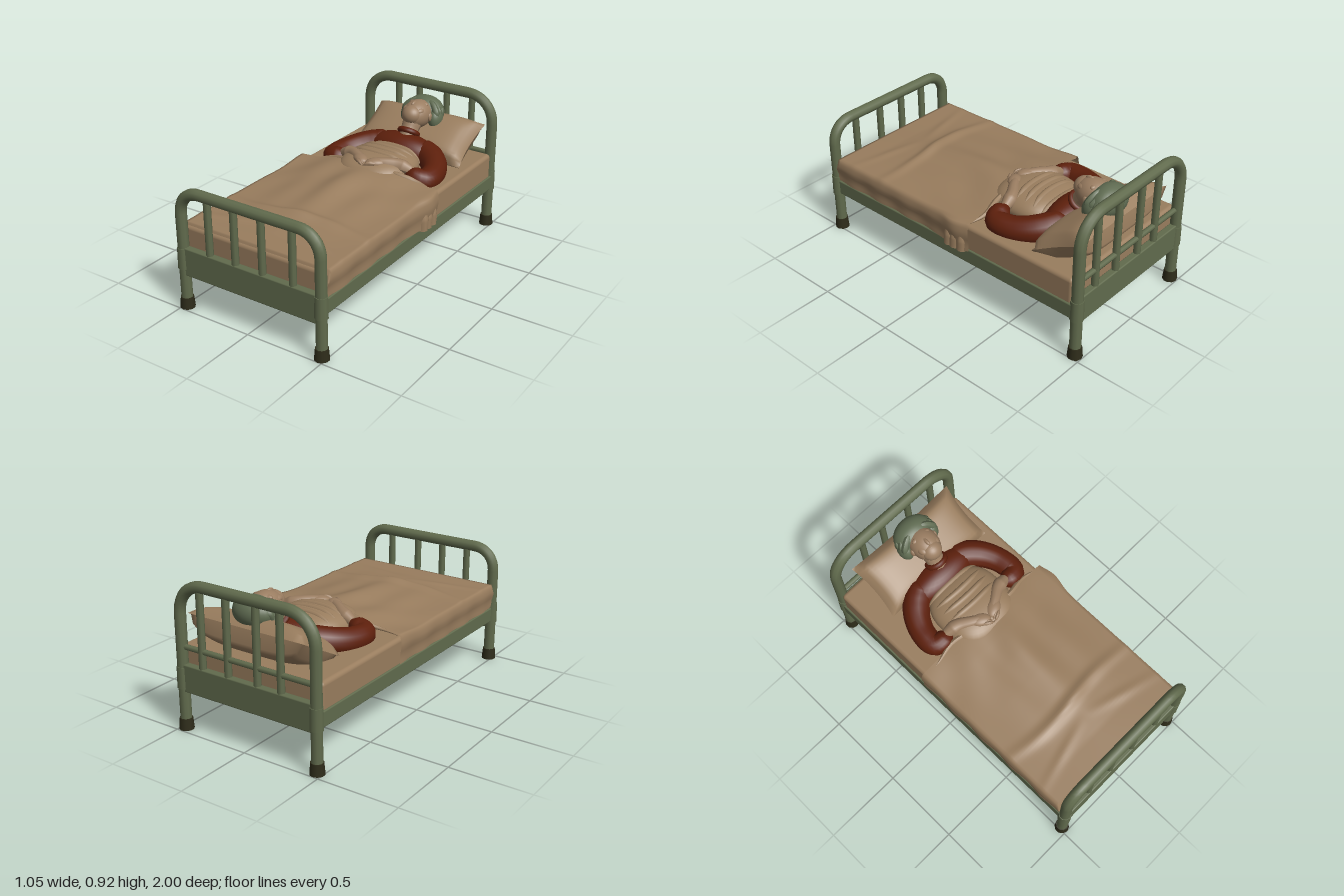
import * as THREE from 'three';
import { RoundedBoxGeometry } from 'three/addons/geometries/RoundedBoxGeometry.js';

const V = (x, y, z) => new THREE.Vector3(x, y, z);
const gauss = (d, w) => Math.exp(-(d * d) / (w * w));

// Linear interpolation through evenly spaced values
function ramp(values, t) {
  const f = Math.min(Math.max(t, 0), 1) * (values.length - 1);
  const i = Math.min(Math.floor(f), values.length - 2);
  return THREE.MathUtils.lerp(values[i], values[i + 1], f - i);
}

// Tube along points whose radius follows a list of values
function taperedTube(points, radii, sides = 12, segs = 28) {
  const curve = new THREE.CatmullRomCurve3(points);
  const g = new THREE.TubeGeometry(curve, segs, 1, sides);
  const p = g.attributes.position, v = V(0, 0, 0);
  for (let i = 0; i < p.count; i++) {
    const t = Math.floor(i / (sides + 1)) / segs, c = curve.getPointAt(t);
    v.fromBufferAttribute(p, i).sub(c).multiplyScalar(ramp(radii, t)).add(c);
    p.setXYZ(i, v.x, v.y, v.z);
  }
  g.computeVertexNormals();
  return g;
}

// Bent tube frame: post, rounded corner, top bar, corner, post
function hoop(w, top, r, z) {
  const path = new THREE.CurvePath();
  const k = r * 0.42;
  path.add(new THREE.LineCurve3(V(-w, 0.05, z), V(-w, top - r, z)));
  path.add(new THREE.CubicBezierCurve3(V(-w, top - r, z), V(-w, top - k, z), V(-w + k, top, z), V(-w + r, top, z)));
  path.add(new THREE.LineCurve3(V(-w + r, top, z), V(w - r, top, z)));
  path.add(new THREE.CubicBezierCurve3(V(w - r, top, z), V(w - k, top, z), V(w, top - k, z), V(w, top - r, z)));
  path.add(new THREE.LineCurve3(V(w, top - r, z), V(w, 0.05, z)));
  return new THREE.TubeGeometry(path, 100, 0.034, 10);
}

// Height of the blanket over the legs and its folds
function blanketHeight(x, z) {
  const body = ramp([0.085, 0.078, 0.068, 0.056, 0.042, 0.026, 0.006, 0], (z + 0.2) / 1.13);
  const side = gauss(x - 0.02, 0.3 + 0.1 * gauss(z + 0.2, 0.18));
  const legs = 0.01 * Math.cos((x - 0.02) * 24) * gauss(z - 0.2, 0.3) * side;
  const cross = 0.024 * gauss(z - 0.54 + 0.06 * x * x + 0.02 * Math.sin(x * 7), 0.035) * gauss(x, 0.4);
  const diagonal = 0.012 * gauss(z - 0.66 - 0.25 * Math.abs(x), 0.03) * Math.min(1, Math.abs(x) * 4) * gauss(x, 0.4);
  const creases = 0.006 * Math.sin(x * 17 + z * 9) * gauss(z + 0.02, 0.2);
  return 0.527 + body * side + legs + cross + diagonal + creases;
}

function blanketGeometry() {
  const g = new THREE.PlaneGeometry(2, 1.13, 70, 70).rotateX(-Math.PI / 2).translate(0, 0, 0.365);
  const p = g.attributes.position;
  for (let i = 0; i < p.count; i++) {
    const u = p.getX(i), z = p.getZ(i), s = Math.sign(u);
    const drop = Math.max(0, (Math.abs(u) - 0.8) / 0.2);
    const hang = s > 0 ? gauss(z + 0.09, 0.09) : 0;
    const flare = drop > 0 ? 0.012 * Math.sin(Math.PI * Math.min(drop * 1.5, 1)) + hang * 0.026 + 0.005 * Math.sin(z * 26) * drop : 0;
    const x = s * (Math.min(1, Math.abs(u) / 0.8) * 0.495 + flare);
    const y = THREE.MathUtils.lerp(blanketHeight(x, z), 0.368 - 0.018 * hang, drop);
    p.setXYZ(i, x, z > 0.925 ? Math.min(y, 0.46) : y, z);
  }
  g.computeVertexNormals();
  return g;
}

// Plump cushion with thin seams, fuller underneath
function pillowGeometry() {
  const g = new THREE.BoxGeometry(2, 2, 2, 24, 1, 16);
  const p = g.attributes.position;
  for (let i = 0; i < p.count; i++) {
    const x = p.getX(i), z = p.getZ(i);
    const puff = Math.pow(Math.max(0, (1 - x ** 4) * (1 - z ** 4)), 0.42);
    const y = p.getY(i) > 0 ? 0.092 : -0.12;
    p.setXYZ(i, x * 0.395 * (1 - 0.05 * (1 - z * z)), y * puff, z * 0.19 * (1 - 0.06 * (1 - x * x)));
  }
  g.computeVertexNormals();
  return g;
}

export function createModel() {
  const model = new THREE.Group();
  const mat = (name, color, side = THREE.FrontSide) => {
    const m = new THREE.MeshStandardMaterial({ color, side });
    m.name = name;
    return m;
  };
  const green = mat('green enamel', 0x616b4d);
  const rubber = mat('dark rubber', 0x2e2c1a);
  const linen = mat('tan linen', 0x997d5e, THREE.DoubleSide);
  const skin = mat('skin', 0x9a7d61);
  const red = mat('rust red wool', 0x5e200c);
  const hairMat = mat('grey green hair', 0x606c52);

  const add = (name, geo, m, x = 0, y = 0, z = 0) => {
    const mesh = new THREE.Mesh(geo, m);
    mesh.name = name;
    mesh.position.set(x, y, z);
    model.add(mesh);
    return mesh;
  };
  const ball = (name, m, x, y, z, rx, ry, rz) =>
    add(name, new THREE.SphereGeometry(1, 28, 18).scale(rx, ry, rz), m, x, y, z);
  const box = (name, m, w, h, d, x, y, z) => add(name, new RoundedBoxGeometry(w, h, d, 2, 0.008), m, x, y, z);

  // Head and foot frames
  const ends = [
    { name: 'foot', z: 0.958, w: 0.477, top: 0.75, r: 0.14, bars: [-0.28, -0.097, 0.09, 0.295], low: 0.22, high: 0.398 },
    { name: 'head', z: -0.955, w: 0.466, top: 0.89, r: 0.18, bars: [-0.235, -0.075, 0.13, 0.315], low: 0.24, high: 0.41 },
  ];
  for (const e of ends) {
    add(e.name + 'Frame', hoop(e.w, e.top, e.r, e.z), green);
    box(e.name + 'Panel', green, e.w * 2, e.high - e.low, 0.045, 0, (e.high + e.low) / 2, e.z);
    // Dark inner face of the panel, under the mattress
    add(e.name + 'PanelLining', new THREE.BoxGeometry(0.87, 0.335 - e.low, 0.008), rubber, 0, (0.345 + e.low) / 2, e.z - Math.sign(e.z) * 0.024);
    for (const x of e.bars) {
      const h = e.top - e.high + 0.02;
      add(e.name + 'Bar', new THREE.CylinderGeometry(0.022, 0.022, h, 8), green, x, e.high + h / 2 - 0.01, e.z);
    }
    for (const s of [-1, 1]) {
      add('footCap', new THREE.CylinderGeometry(0.039, 0.045, 0.07, 10), rubber, s * e.w, 0.035, e.z);
      add('postBracket', new THREE.CylinderGeometry(0.038, 0.04, 0.13, 10), green, s * e.w, 0.325, e.z);
    }
  }
  const crossRail = add('headCrossRail', new THREE.CylinderGeometry(0.017, 0.017, 0.93, 8), green, 0, 0.512, -0.955);
  crossRail.rotation.z = Math.PI / 2;

  // Side rails and bed base
  for (const s of [-1, 1]) box('sideRail', green, 0.05, 0.095, 1.9, s * 0.47, 0.315, 0);
  box('underSlat', linen, 0.9, 0.012, 0.02, 0, 0.334, 0.78);

  // Bedding
  add('mattress', new RoundedBoxGeometry(0.97, 0.178, 1.86, 4, 0.025), linen, 0, 0.429, 0);
  add('blanket', blanketGeometry(), linen);
  const hem = [];
  for (let i = 0; i <= 20; i++) {
    const x = -0.48 + i * 0.049;
    hem.push(V(x, blanketHeight(x, -0.2) - 0.008, -0.195 + 0.012 * Math.sin(i)));
  }
  add('blanketHem', taperedTube(hem, [0.002, 0.015, 0.02, 0.015, 0.02, 0.002], 8, 50), linen);
  for (const z of [-0.145, -0.09, -0.045]) {
    add('hangingFold', taperedTube([V(0.44, 0.52, z - 0.015), V(0.48, 0.5, z), V(0.495, 0.44, z), V(0.5, 0.352, z + 0.005)],
      [0.004, 0.025, 0.034, 0.032], 10), linen);
  }
  add('pillow', pillowGeometry(), linen, 0.035, 0.617, -0.765).rotation.x = 0.5;

  // Covered chest, squared off in plan, with gathered folds
  const C = { x: 0.02, y: 0.555, z: -0.305, rx: 0.235, ry: 0.1, rz: 0.235 };
  const chest = new THREE.SphereGeometry(1, 36, 24);
  const cp = chest.attributes.position;
  const square = (v) => Math.sign(v) * Math.abs(v) ** 0.75;
  for (let i = 0; i < cp.count; i++) {
    cp.setXYZ(i, square(cp.getX(i)) * C.rx, cp.getY(i) * C.ry, square(cp.getZ(i)) * C.rz);
  }
  chest.computeVertexNormals();
  add('coveredChest', chest, linen, C.x, C.y, C.z);
  for (const z of [-0.48, -0.4, -0.34, -0.28]) {
    const fold = [];
    for (let i = -6; i <= 6; i++) {
      const dx = i * 0.034, zz = z + 0.6 * dx * dx * (z > -0.41 ? -1 : 0.2);
      const q = 1 - Math.abs(dx / C.rx) ** 2.67 - Math.abs((zz - C.z) / C.rz) ** 2.67;
      fold.push(V(C.x + dx, C.y + C.ry * Math.sqrt(Math.max(q, 0)) - 0.01, zz));
    }
    add('chestFold', taperedTube(fold, [0.004, 0.02, 0.022, 0.02, 0.004], 10), linen);
  }

  // Shoulders, sleeves, forearms and hands
  ball('shoulders', red, 0.025, 0.565, -0.58, 0.25, 0.112, 0.12);
  const collar = add('collar', new THREE.TorusGeometry(0.058, 0.018, 10, 28), red, 0.042, 0.672, -0.628);
  collar.rotation.x = 0.95;
  for (const s of [-1, 1]) {
    const X = (x) => 0.025 + s * x;
    add('sleeve', taperedTube([V(X(0.08), 0.59, -0.6), V(X(0.18), 0.572, -0.585), V(X(0.28), 0.552, -0.5), V(X(0.335), 0.54, -0.38),
      V(X(0.33), 0.545, -0.28), V(X(0.2), 0.585, -0.262)], [0.01, 0.08, 0.085, 0.084, 0.08, 0.076, 0.074, 0.068, 0.06, 0.001], 16, 40), red);
    add('forearm', taperedTube([V(X(0.25), 0.59, -0.275), V(X(0.17), 0.615, -0.255), V(X(0.1), 0.628, -0.21), V(X(0.05), 0.63, -0.18)],
      [0.03, 0.044, 0.038, 0.034, 0.03]), skin);
    const hand = ball('hand', skin, X(0.055), 0.632, -0.178, 0.065, 0.028, 0.042);
    hand.rotation.y = s * 0.6;
    for (let i = 0; i < 4; i++) {
      const dz = i * 0.016;
      add('finger', taperedTube([V(X(0.07), 0.637, -0.195 + dz), V(X(0.035), 0.64, -0.172 + dz), V(X(0.0), 0.624, -0.158 + dz)],
        [0.008, 0.012, 0.011, 0.002], 8, 12), skin);
    }
  }

  // Neck, face and features
  add('neck', taperedTube([V(0.045, 0.76, -0.7), V(0.043, 0.71, -0.655), V(0.04, 0.63, -0.6)], [0.07, 0.058, 0.055]), skin);
  ball('face', skin, 0.045, 0.768, -0.725, 0.09, 0.091, 0.118);
  ball('jaw', skin, 0.043, 0.782, -0.66, 0.066, 0.062, 0.066);
  ball('nose', skin, 0.04, 0.846, -0.69, 0.013, 0.018, 0.03);
  ball('lips', skin, 0.042, 0.836, -0.65, 0.025, 0.007, 0.011);
  for (const s of [-1, 1]) {
    ball('brow', skin, 0.043 + s * 0.034, 0.834, -0.745, 0.032, 0.014, 0.018);
    ball('cheek', skin, 0.043 + s * 0.042, 0.808, -0.685, 0.032, 0.024, 0.042);
    ball('ear', skin, 0.045 + s * 0.09, 0.76, -0.73, 0.012, 0.028, 0.02);
  }

  // Hair with waved locks and rolled sides
  ball('hair', hairMat, 0.045, 0.768, -0.825, 0.13, 0.094, 0.096);
  for (const s of [-1, 1]) {
    ball('sideRoll', hairMat, 0.045 + s * 0.102, 0.73, -0.785, 0.045, 0.072, 0.06);
    for (const k of [0, 1, 2]) {
      add('hairLock', taperedTube([V(0.045, 0.838 - k * 0.01, -0.81 - k * 0.03), V(0.045 + s * 0.07, 0.826 - k * 0.01, -0.79 - k * 0.033),
        V(0.045 + s * 0.115, 0.775, -0.768 - k * 0.03), V(0.045 + s * 0.12, 0.71, -0.766 - k * 0.025)], [0.01, 0.02, 0.024, 0.008], 8), hairMat);
    }
  }
  return model;
}
